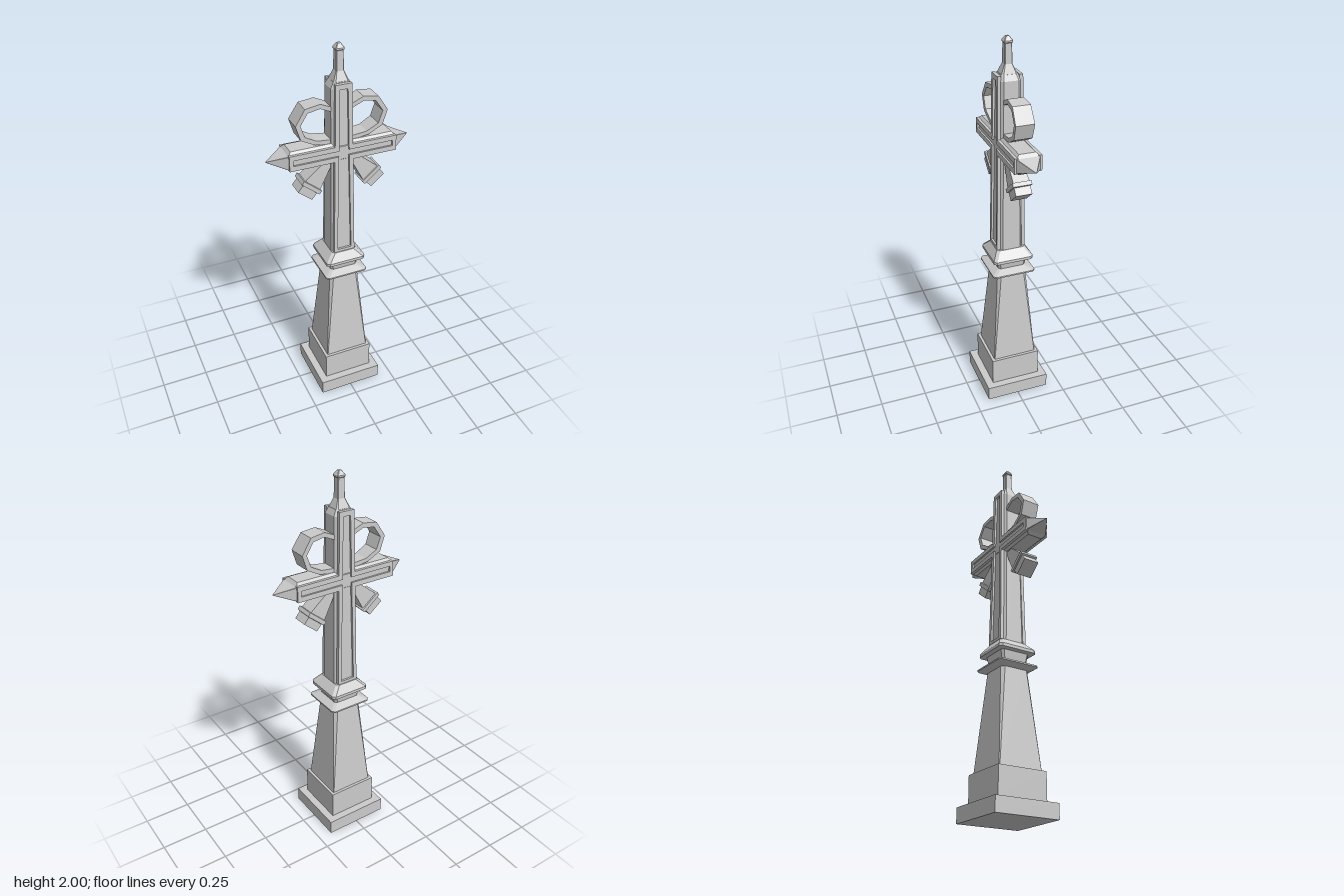
import * as THREE from 'three';

const material = new THREE.MeshStandardMaterial({ color: 0xcccccc, flatShading: true, side: THREE.DoubleSide });

// Stack of chamfered rectangles: each section is [height, halfX, halfZ, chamfer]
function loft(name, sections) {
  const rings = sections.map(([y, a, b, c = 0]) =>
    [[a, -b + c], [a, b - c], [a - c, b], [-a + c, b], [-a, b - c], [-a, -b + c], [-a + c, -b], [a - c, -b]]
      .map(([x, z]) => [x, y, z]));
  const pos = [];
  const tri = (...p) => p.forEach((v) => pos.push(...v));
  for (let r = 0; r < rings.length - 1; r++) {
    for (let i = 0; i < 8; i++) {
      const j = (i + 1) % 8, lo = rings[r], hi = rings[r + 1];
      tri(lo[i], hi[i], lo[j]);
      tri(hi[i], hi[j], lo[j]);
    }
  }
  const bottom = rings[0], top = rings[rings.length - 1];
  for (let i = 1; i < 7; i++) {
    tri(bottom[0], bottom[i], bottom[i + 1]);
    tri(top[0], top[i + 1], top[i]);
  }
  const geometry = new THREE.BufferGeometry();
  geometry.setAttribute('position', new THREE.Float32BufferAttribute(pos, 3));
  geometry.computeVertexNormals();
  return mesh(name, geometry);
}

function mesh(name, geometry) {
  const m = new THREE.Mesh(geometry, material);
  m.name = name;
  return m;
}

function box(name, w, y0, y1) {
  const m = mesh(name, new THREE.BoxGeometry(w, y1 - y0, w));
  m.position.y = (y0 + y1) / 2;
  return m;
}

// Cross outline with a tapering upright
function crossPoints(y0, w0, y1, w1, armX, armLow, armHigh) {
  const w = (y) => w0 + (w1 - w0) * (y - y0) / (y1 - y0);
  const right = [[w0, y0], [w(armLow), armLow], [armX, armLow], [armX, armHigh], [w(armHigh), armHigh], [w1, y1]];
  const left = right.map(([x, y]) => [-x, y]).reverse();
  return [...right, ...left].map(([x, y]) => new THREE.Vector2(x, y));
}

// Raised border on a cross face, leaning back with height
function crossFrame(name) {
  const shape = new THREE.Shape(crossPoints(0.9, 0.057, 1.825, 0.042, 0.28, 1.432, 1.512));
  shape.holes.push(new THREE.Path(crossPoints(0.915, 0.038, 1.8, 0.02, 0.26, 1.458, 1.487)));
  const geometry = new THREE.ExtrudeGeometry(shape, { depth: 0.018, bevelEnabled: false });
  const p = geometry.attributes.position;
  for (let i = 0; i < p.count; i++) p.setZ(i, p.getZ(i) + 0.059 - 0.014 * (p.getY(i) - 0.9));
  geometry.computeVertexNormals();
  return mesh(name, geometry);
}

// Angular ribbon loop beside the upright
function ribbonLoop(name, side) {
  const outer = [[0.03, 1.71], [0.055, 1.712], [0.11, 1.737], [0.187, 1.727], [0.237, 1.65], [0.212, 1.572], [0.14, 1.533], [0.03, 1.515]];
  const inner = [[0.03, 1.54], [0.13, 1.552], [0.19, 1.585], [0.212, 1.647], [0.174, 1.704], [0.112, 1.714], [0.055, 1.688], [0.03, 1.686]];
  const shape = new THREE.Shape([...outer, ...inner].map(([x, y]) => new THREE.Vector2(side * x, y)));
  const geometry = new THREE.ExtrudeGeometry(shape, { depth: 0.09, bevelEnabled: false });
  geometry.translate(0, 0, -0.045);
  // the band narrows slightly towards the upright
  const p = geometry.attributes.position;
  for (let i = 0; i < p.count; i++) p.setZ(i, p.getZ(i) * (0.82 + Math.abs(p.getX(i))));
  geometry.computeVertexNormals();
  return mesh(name, geometry);
}

export function createModel() {
  const model = new THREE.Group();
  model.name = 'crossMonument';

  // Stepped base and tapering pedestal
  model.add(box('plinth', 0.35, 0, 0.078), box('baseBlock', 0.27, 0.078, 0.23));
  model.add(loft('pedestal', [[0.23, 0.12, 0.12, 0.003], [0.75, 0.079, 0.079, 0.016]]));

  // Moulded collar
  model.add(loft('collar', [
    [0.745, 0.08, 0.08, 0.014], [0.762, 0.116, 0.116, 0.014], [0.77, 0.116, 0.116, 0.014],
    [0.79, 0.074, 0.074, 0.012], [0.835, 0.081, 0.081, 0.012], [0.838, 0.108, 0.108, 0.014],
    [0.854, 0.108, 0.108, 0.014], [0.897, 0.066, 0.078, 0.014],
  ]));

  // Upright with its finial
  model.add(loft('upright', [[0.89, 0.065, 0.066, 0.018], [1.8, 0.055, 0.053, 0.016], [1.828, 0.04, 0.042, 0.012]]));
  model.add(loft('finial', [
    [1.82, 0.042, 0.043, 0.01], [1.872, 0.02, 0.02, 0.003], [1.968, 0.018, 0.018, 0.003],
    [1.972, 0.022, 0.022, 0.003], [1.98, 0.022, 0.022, 0.003], [2, 0.008, 0.008, 0.002],
  ]));

  for (const side of [1, -1]) {
    const label = side > 0 ? 'left' : 'right';

    // Arm ending in a pointed tip
    const arm = loft(label + 'Arm', [
      [0, 0.052, 0.06, 0.018], [0.265, 0.052, 0.06, 0.018], [0.28, 0.036, 0.06, 0.002], [0.378, 0, 0, 0],
    ]);
    arm.rotation.z = -side * Math.PI / 2;
    arm.position.y = 1.472;
    model.add(arm);

    model.add(ribbonLoop(label + 'RibbonLoop', side));

    // Flared ribbon tail with a banded end
    const tail = loft(label + 'RibbonTail', [
      [0, 0.012, 0.034, 0], [0.18, 0.05, 0.042, 0], [0.182, 0.06, 0.049, 0],
      [0.203, 0.058, 0.049, 0], [0.205, 0.047, 0.042, 0], [0.247, 0.046, 0.042, 0],
    ]);
    tail.rotation.z = side * (Math.PI - 0.69) * -1;
    tail.position.set(side * 0.04, 1.453, 0);
    model.add(tail);
  }

  // Raised frames on both faces
  const front = crossFrame('frontFrame');
  const back = crossFrame('backFrame');
  back.rotation.y = Math.PI;
  model.add(front, back);

  return model;
}
